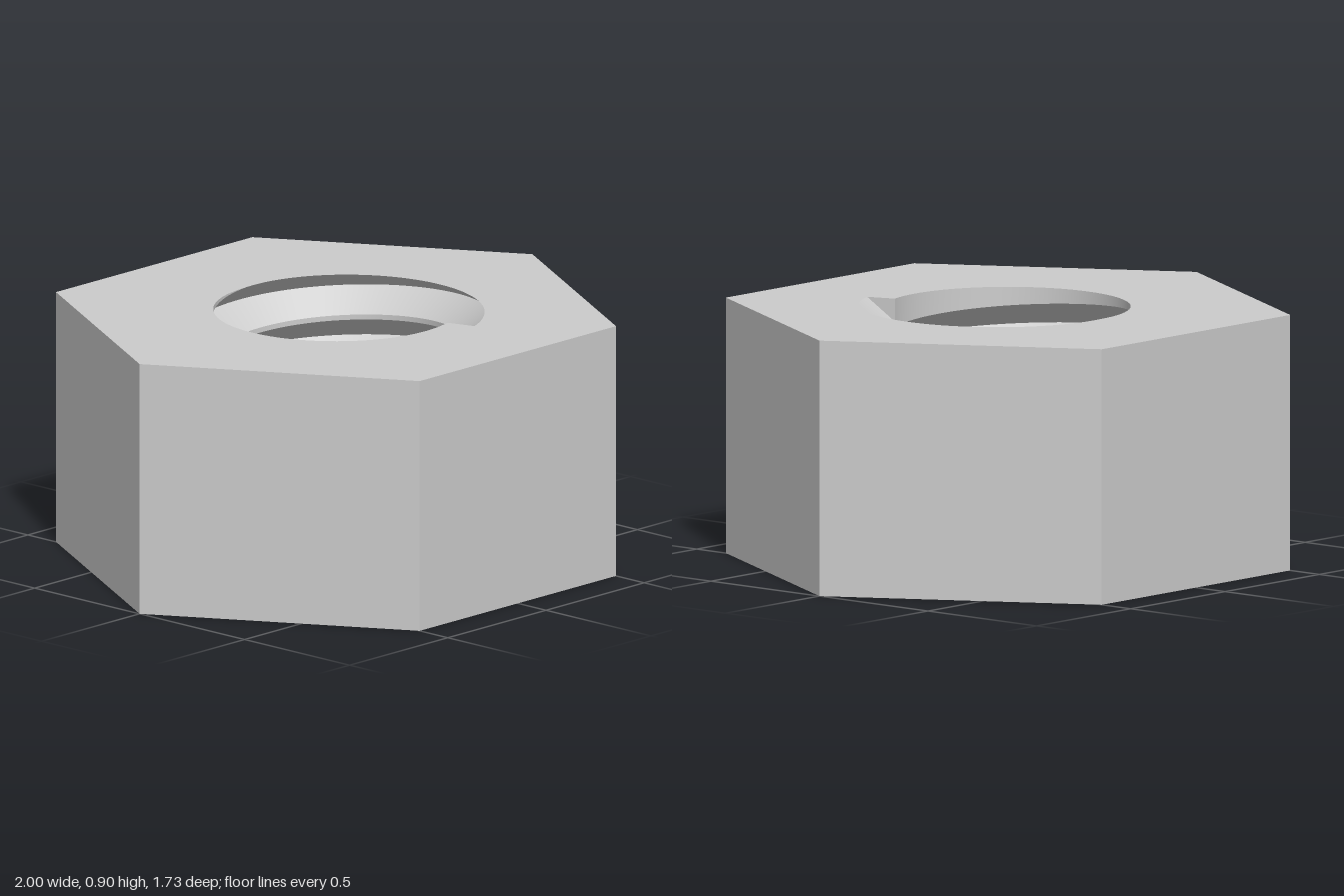
import * as THREE from 'three';
import { toCreasedNormals } from 'three/addons/utils/BufferGeometryUtils.js';

const HEIGHT = 0.9, BORE = 0.427, DEPTH = 0.105;
const PITCH = 0.18, HALF_GROOVE = 0.081, START_Y = -0.036;
const STEP = Math.PI / 90;          // 2 degrees per column
const END_COL = 36, COLS = 180;     // the groove runs out at 72 degrees

const hexRadius = (a) => Math.cos(Math.PI / 6) / Math.cos((a % (Math.PI / 3)) - Math.PI / 6);
const grooveY = (a, turn) => START_Y + PITCH * (turn + a / (2 * Math.PI));
const clampY = (y) => Math.min(HEIGHT, Math.max(0, y));

// Radius of the threaded bore at an angle and height
function boreRadius(a, y, turns) {
  let d = 0;
  for (let k = 0; k < turns; k++) {
    d = Math.max(d, DEPTH * (1 - Math.abs(y - grooveY(a, k)) / HALF_GROOVE));
  }
  return BORE + d;
}

// Bore cross-section [radius, y] from bottom to top: V grooves with narrow lands
function threadProfile(a, turns) {
  const ys = [0];
  for (let k = 0; k < turns; k++) {
    for (const s of [-1, 0, 1]) ys.push(clampY(grooveY(a, k) + s * HALF_GROOVE));
  }
  ys.push(HEIGHT);
  return ys.map((y) => [boreRadius(a, y, turns), y]);
}

const bottomProfile = (a, turns) => [[hexRadius(a), 0], [boreRadius(a, 0, turns), 0]];
const topProfile = (a, turns) => [[boreRadius(a, HEIGHT, turns), HEIGHT], [hexRadius(a), HEIGHT]];

const point = (a, [r, y]) => new THREE.Vector3(r * Math.cos(a), y, r * Math.sin(a));

function pushTriangle(out, a, b, c) {
  const area = b.clone().sub(a).cross(c.clone().sub(a)).length();
  if (area > 1e-9) for (const p of [a, b, c]) out.push(p.x, p.y, p.z);
}

// Sweep an angle-dependent profile around the axis, with one more groove before the run-out
function sweep(profile, out = []) {
  for (let i = 0; i < COLS; i++) {
    const turns = i < END_COL ? 6 : 5;
    const a0 = i * STEP, a1 = (i + 1) * STEP;
    const p = profile(a0, turns), q = profile(a1, turns);
    for (let j = 0; j < p.length - 1; j++) {
      const a = point(a0, p[j]), b = point(a1, q[j]);
      const c = point(a1, q[j + 1]), d = point(a0, p[j + 1]);
      pushTriangle(out, a, b, c);
      pushTriangle(out, a, c, d);
    }
  }
  return out;
}

function toGeometry(positions) {
  const g = new THREE.BufferGeometry();
  g.setAttribute('position', new THREE.Float32BufferAttribute(positions, 3));
  return toCreasedNormals(g, 0.5);
}

export function createModel() {
  const steel = new THREE.MeshStandardMaterial({ color: 0xcccccc });
  steel.name = 'steel grey';
  const group = new THREE.Group();
  group.name = 'hexNut';
  const add = (name, geometry) => {
    const mesh = new THREE.Mesh(geometry, steel);
    mesh.name = name;
    group.add(mesh);
  };

  // Six flat sides, corners on the x axis
  const sides = new THREE.CylinderGeometry(1, 1, HEIGHT, 6, 1, true, Math.PI / 2).toNonIndexed();
  sides.translate(0, HEIGHT / 2, 0);
  sides.computeVertexNormals();
  add('hexSides', sides);

  // Flat faces around the bore
  add('topFace', toGeometry(sweep(topProfile)));
  add('bottomFace', toGeometry(sweep(bottomProfile)));

  // Helical thread, with the small walls where the groove begins and ends
  const thread = sweep(threadProfile);
  pushTriangle(thread,
    point(0, [BORE, 0]),
    point(0, [boreRadius(0, 0, 6), 0]),
    point(0, [BORE, START_Y + HALF_GROOVE]));
  const end = END_COL * STEP;
  pushTriangle(thread,
    point(end, [BORE, HEIGHT - HALF_GROOVE]),
    point(end, [BORE, HEIGHT]),
    point(end, [BORE + DEPTH, HEIGHT]));
  add('innerThread', toGeometry(thread));

  return group;
}
